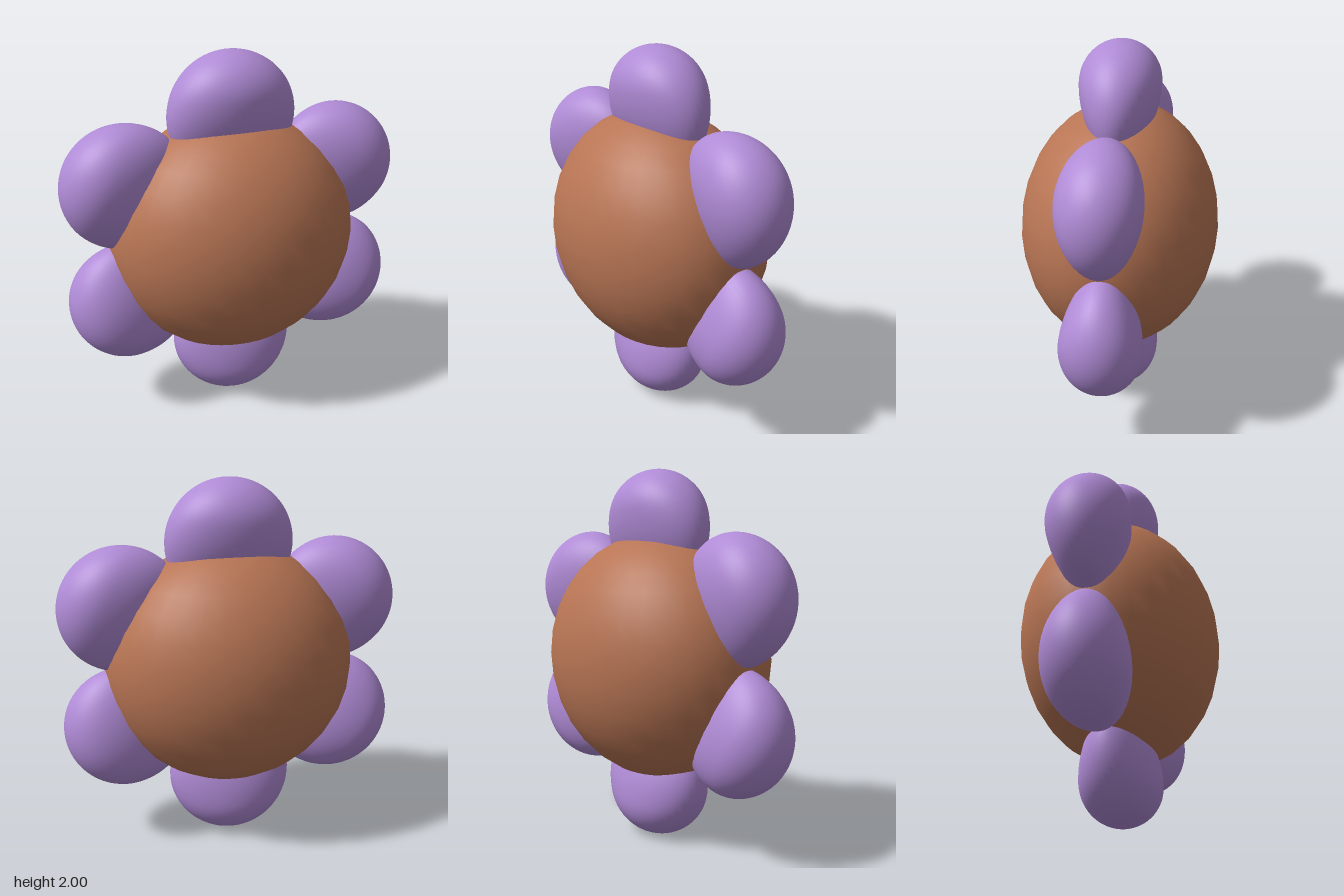
import * as THREE from 'three';
import { mergeVertices } from 'three/addons/utils/BufferGeometryUtils.js';

const PETAL_R = 0.34;   // outline radius of a petal
const THICK = 0.21;     // half thickness at its fullest point
const FULL = PETAL_R - THICK;

// Half thickness along the petal: round outer rim, tapering towards the core
function thickness(u) {
  if (u > FULL) return Math.sqrt(Math.max(0, THICK * THICK - (u - FULL) ** 2));
  return THICK * Math.max(0, 1 - ((FULL - u) / (PETAL_R + FULL)) ** 2);
}

// A sphere reshaped into a round petal with a teardrop section
function petalGeometry() {
  const geo = new THREE.SphereGeometry(1, 48, 40);
  const p = geo.attributes.position;
  for (let i = 0; i < p.count; i++) {
    const y = p.getY(i);
    const ring = Math.sqrt(Math.max(1e-8, 1 - y * y));
    const u = y * PETAL_R;
    p.setXYZ(i, p.getX(i) * PETAL_R, u, thickness(u) * p.getZ(i) / ring);
  }
  geo.deleteAttribute('uv');
  geo.deleteAttribute('normal');
  const merged = mergeVertices(geo, 1e-5);
  merged.computeVertexNormals();
  return merged;
}

export function createModel() {
  const model = new THREE.Group();
  model.name = 'flower';
  const brown = new THREE.MeshStandardMaterial({ color: 0xb87554 });
  const purple = new THREE.MeshStandardMaterial({ color: 0xb08bd6 });

  // Flattened ball in the middle
  const core = new THREE.Mesh(new THREE.SphereGeometry(1, 32, 16), brown);
  core.name = 'core';
  core.scale.set(0.675, 0.667, 0.53);
  core.position.y = 1;
  model.add(core);

  // Six petals in a ring, one pointing straight up
  const petals = new THREE.Group();
  petals.name = 'petals';
  petals.position.y = 1;
  const geo = petalGeometry();
  for (let i = 0; i < 6; i++) {
    const a = i * Math.PI / 3;
    const petal = new THREE.Mesh(geo, purple);
    petal.name = 'petal' + (i + 1);
    petal.position.set(-Math.sin(a) * 0.66, Math.cos(a) * 0.66, 0);
    petal.rotation.z = a;
    petals.add(petal);
  }
  model.add(petals);
  return model;
}
